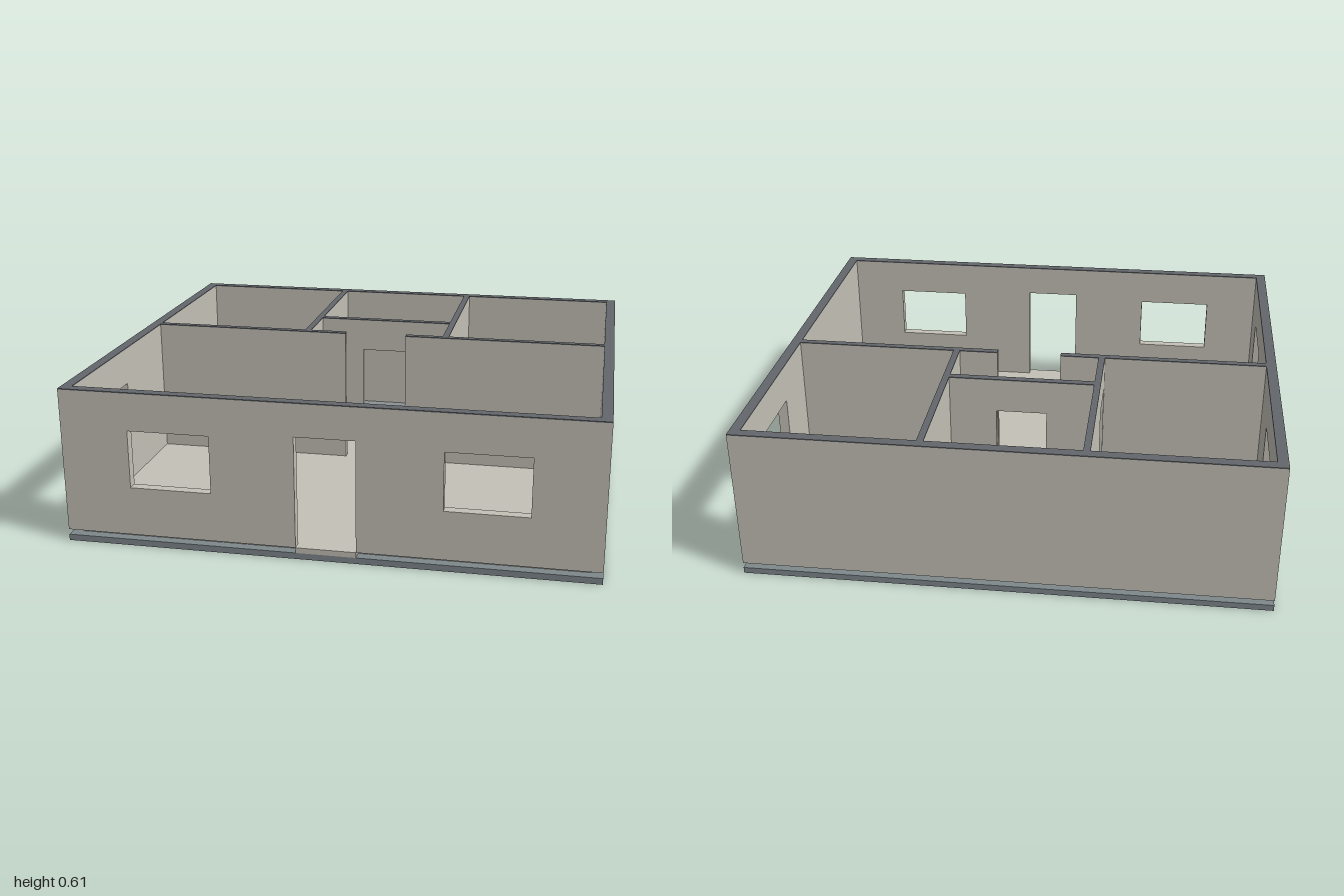
import * as THREE from 'three';

const FLOOR_BASE = 0.024, WALL_BASE = 0.045, WALL_TOP = 0.601, TOP = 0.605;
const WINDOW = [0.234, 0.457];

export function createModel() {
  const house = new THREE.Group();
  house.name = 'house';

  const material = (name, color) => {
    const m = new THREE.MeshStandardMaterial({ color });
    m.name = name;
    return m;
  };
  const plaster = material('warm grey plaster', 0xc4c1b7);
  const capGrey = material('dark wall top', 0x63666a);
  const slabGrey = material('slab grey', 0x7e878b);
  const tileGrey = material('tile grey', 0x8b9194);

  const add = (name, geometry, mat, parent = house) => {
    const mesh = new THREE.Mesh(geometry, mat);
    mesh.name = name;
    parent.add(mesh);
    return mesh;
  };

  // Box given by its limits
  const block = (name, mat, [x0, x1], [y0, y1], [z0, z1]) =>
    add(name, new THREE.BoxGeometry(x1 - x0, y1 - y0, z1 - z0), mat)
      .position.set((x0 + x1) / 2, (y0 + y1) / 2, (z0 + z1) / 2);

  // Wall from u0 to u1 along x or z, between t0 and t1 across.
  // windows: [from, to]; door: [from, to, head height]
  const wall = (name, axis, [u0, u1], [t0, t1], { windows = [], door } = {}) => {
    const outline = [[u0, WALL_BASE]];
    if (door) {
      const [a, b, head] = door;
      outline.push([a, WALL_BASE], [a, head], [b, head], [b, WALL_BASE]);
    }
    outline.push([u1, WALL_BASE], [u1, WALL_TOP], [u0, WALL_TOP]);
    const points = (list) => list.map(([u, y]) => new THREE.Vector2(u, y));
    const shape = new THREE.Shape(points(outline));
    const [sill, head] = WINDOW;
    for (const [a, b] of windows) {
      shape.holes.push(new THREE.Path(points([[a, sill], [a, head], [b, head], [b, sill]])));
    }
    const group = new THREE.Group();
    group.name = name;
    add(name + ' panel', new THREE.ExtrudeGeometry(shape, { depth: t1 - t0, bevelEnabled: false }), plaster, group);
    add(name + ' cap', new THREE.BoxGeometry(u1 - u0, TOP - WALL_TOP, t1 - t0), capGrey, group)
      .position.set((u0 + u1) / 2, (TOP + WALL_TOP) / 2, (t1 - t0) / 2);
    if (axis === 'x') {
      group.position.z = t0;
    } else {
      group.rotation.y = -Math.PI / 2;
      group.position.x = t1;
    }
    house.add(group);
  };

  // Foundation slab
  block('foundation slab', slabGrey, [-1, 1], [0, FLOOR_BASE], [-0.9, 0.9]);

  // Floors, one per room, leaving a shadow gap under the walls
  const floorY = [FLOOR_BASE, WALL_BASE];
  block('living room floor', plaster, [-0.96, 0.96], floorY, [-0.07, 0.86]);
  block('hall floor', plaster, [-0.286, 0.286], floorY, [-0.316, -0.098]);
  block('bathroom floor', tileGrey, [-0.286, 0.286], floorY, [-0.86, -0.345]);
  block('hall threshold', plaster, [-0.13, 0.13], floorY, [-0.098, -0.07]);
  block('front threshold', plaster, [-0.113, 0.113], floorY, [0.86, 0.9]);
  block('bathroom threshold', plaster, [-0.1, 0.1], floorY, [-0.345, -0.316]);

  // Outer walls
  const sideRun = [-0.86, 0.86];
  wall('front wall', 'x', [-1, 1], [0.86, 0.9], {
    windows: [[-0.74, -0.43], [0.43, 0.74]],
    door: [-0.113, 0.113, 0.476],
  });
  wall('back wall', 'x', [-1, 1], [-0.9, -0.86]);
  wall('right side wall', 'z', sideRun, [-1, -0.96], { windows: [[-0.65, -0.34], [0.34, 0.65]] });
  wall('left side wall', 'z', sideRun, [0.96, 1], { windows: [[-0.65, -0.34]] });

  // Bathroom partition with its door
  wall('bathroom wall', 'x', [-0.286, 0.286], [-0.345, -0.316], { door: [-0.1, 0.1, 0.466] });

  // Mirrored bedrooms: floor, hall door and partitions
  for (const [side, s] of [['right', -1], ['left', 1]]) {
    const span = (a, b) => (s > 0 ? [a, b] : [-b, -a]);
    block(side + ' bedroom floor', plaster, span(0.312, 0.96), floorY, [-0.86, -0.098]);
    block(side + ' bedroom threshold', plaster, span(0.286, 0.312), floorY, [-0.306, -0.108]);
    wall(side + ' bedroom side wall', 'z', [-0.86, -0.098], span(0.286, 0.312), { door: [-0.306, -0.108, 0.466] });
    wall(side + ' bedroom front wall', 'x', span(0.13, 0.96), [-0.098, -0.07]);
  }
  return house;
}
